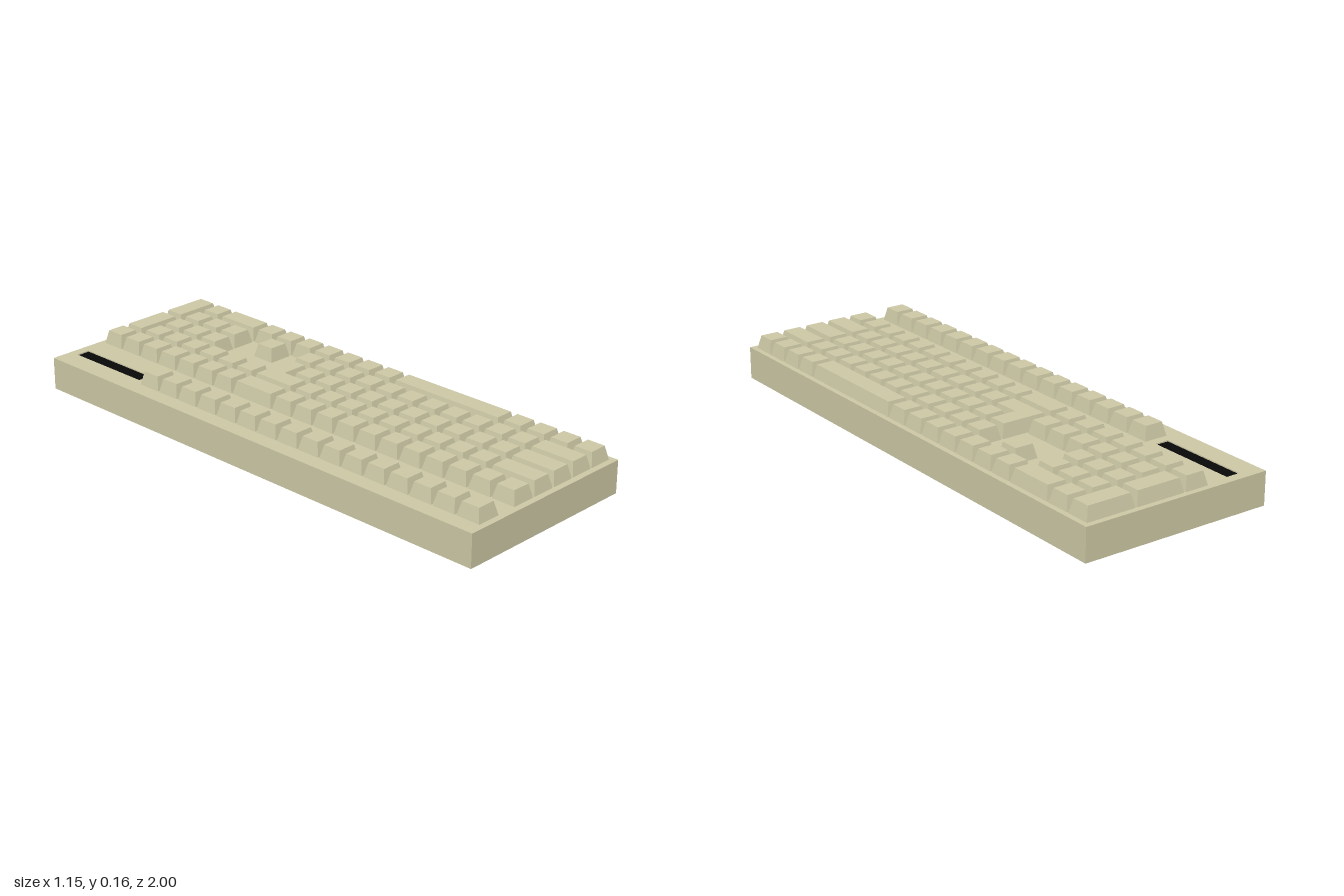
import * as THREE from 'three';

const W = 1.885, D = 0.69;             // case width and depth
const CASE_H = 0.114, KEY_TOP = 0.161;
const U = 0.0925;                      // one key unit
const LEFT = 0.0185 - W / 2;           // left edge of the key grid
const MAIN_BACK = 0.212 - D / 2;       // back edge of the main rows
const FUNC_BACK = 0.053 - D / 2;       // back edge of the function row
const GAP = 0.003, TAPER = 0.011;

const beige = new THREE.MeshStandardMaterial({ color: 0xcbc7a4 });
const black = new THREE.MeshStandardMaterial({ color: 0x080808 });

// Shrinks a right-angled outline (counter-clockwise from above) by d on every edge
function inset(outline, d) {
  const n = outline.length;
  const inward = (a, b) => {
    const l = Math.hypot(b[0] - a[0], b[1] - a[1]);
    return [(b[1] - a[1]) / l, -(b[0] - a[0]) / l];
  };
  return outline.map((p, i) => {
    const a = inward(outline[(i + n - 1) % n], p), b = inward(p, outline[(i + 1) % n]);
    return [p[0] + d * (a[0] + b[0]), p[1] + d * (a[1] + b[1])];
  });
}

// Tapered keycap over any right-angled outline
function keycap(name, outline) {
  const low = inset(outline, GAP), high = inset(outline, GAP + TAPER);
  const v = [];
  const put = ([x, z], y) => v.push(x, y, z);
  low.forEach((a, i) => {
    const j = (i + 1) % low.length;
    put(a, CASE_H); put(low[j], CASE_H); put(high[j], KEY_TOP);
    put(a, CASE_H); put(high[j], KEY_TOP); put(high[i], KEY_TOP);
  });
  const contour = high.map(([x, z]) => new THREE.Vector2(x, -z));
  for (const tri of THREE.ShapeUtils.triangulateShape(contour, [])) {
    for (const k of tri) put(high[k], KEY_TOP);
  }
  const geo = new THREE.BufferGeometry();
  geo.setAttribute('position', new THREE.Float32BufferAttribute(v, 3));
  geo.computeVertexNormals();
  const mesh = new THREE.Mesh(geo, beige);
  mesh.name = name;
  return mesh;
}

// Key at column s, row r, w units wide and h units deep
function key(name, s, r, w = 1, h = 1, back = MAIN_BACK) {
  const x0 = LEFT + s * U, x1 = x0 + w * U, z0 = back + r * U, z1 = z0 + h * U;
  return keycap(name, [[x0, z0], [x0, z1], [x1, z1], [x1, z0]]);
}

function rectangle(path, x0, y0, x1, y1) {
  path.moveTo(x0, y0);
  path.lineTo(x1, y0);
  path.lineTo(x1, y1);
  path.lineTo(x0, y1);
  path.closePath();
  return path;
}

export function createModel() {
  const model = new THREE.Group();
  model.name = 'keyboard';
  const board = new THREE.Group();
  board.name = 'board';
  board.rotation.y = THREE.MathUtils.degToRad(105);
  model.add(board);

  // Case: solid base and a top plate with a slot for the indicator panel
  const SLOT = 0.01;
  const base = new THREE.Mesh(new THREE.BoxGeometry(W, CASE_H - SLOT, D), beige);
  base.name = 'caseBase';
  base.position.y = (CASE_H - SLOT) / 2;
  board.add(base);

  const px = 1.689 - W / 2, pz = 0.102 - D / 2, pw = 0.324, pd = 0.05;
  const plate = rectangle(new THREE.Shape(), -W / 2, -D / 2, W / 2, D / 2);
  plate.holes.push(rectangle(new THREE.Path(), px - pw / 2, -pz - pd / 2, px + pw / 2, -pz + pd / 2));
  const top = new THREE.Mesh(new THREE.ExtrudeGeometry(plate, { depth: SLOT, bevelEnabled: false }), beige);
  top.name = 'caseTop';
  top.rotation.x = -Math.PI / 2;
  top.position.y = CASE_H - SLOT;
  board.add(top);

  const panel = new THREE.Mesh(new THREE.BoxGeometry(pw, 0.006, pd), black);
  panel.name = 'indicatorPanel';
  panel.position.set(px, CASE_H - SLOT + 0.003, pz);
  board.add(panel);

  // Runs of single keys: [name, row, first column, last column]
  const runs = [
    ['numberKey', 0, 0, 10], ['letterKey', 1, 2, 10], ['letterKey', 2, 2, 11], ['letterKey', 3, 2, 12],
    ['modifierKey', 4, 0, 3], ['modifierKey', 4, 9, 12],
    ['navigationKey', 0, 13, 15], ['navigationKey', 1, 13, 15],
    ['arrowKey', 3, 14, 14], ['arrowKey', 4, 13, 15],
    ['numpadKey', 0, 16, 19], ['numpadKey', 1, 16, 18], ['numpadKey', 2, 16, 18],
    ['numpadKey', 3, 16, 18], ['numpadKey', 4, 18, 18],
  ];
  for (const [name, r, first, last] of runs) {
    for (let s = first; s <= last; s++) board.add(key(name, s, r));
  }
  for (let s = 0; s < 16; s++) board.add(key('functionKey', s, 0, 1, 1, FUNC_BACK));

  // Wide and deep keys
  board.add(
    key('backspaceKey', 11, 0, 2),
    key('tabKey', 0, 1, 2),
    key('capsLockKey', 0, 2, 2),
    key('shiftKey', 0, 3, 2),
    key('spaceBar', 4, 4, 5),
    key('numpadZeroKey', 16, 4, 2),
    key('numpadPlusKey', 19, 1, 1, 2),
    key('numpadEnterKey', 19, 3, 1, 2),
  );

  // L-shaped enter key
  const corners = [[11, 1], [11, 2], [12, 2], [12, 3], [13, 3], [13, 1]];
  board.add(keycap('enterKey', corners.map(([s, r]) => [LEFT + s * U, MAIN_BACK + r * U])));

  return model;
}
